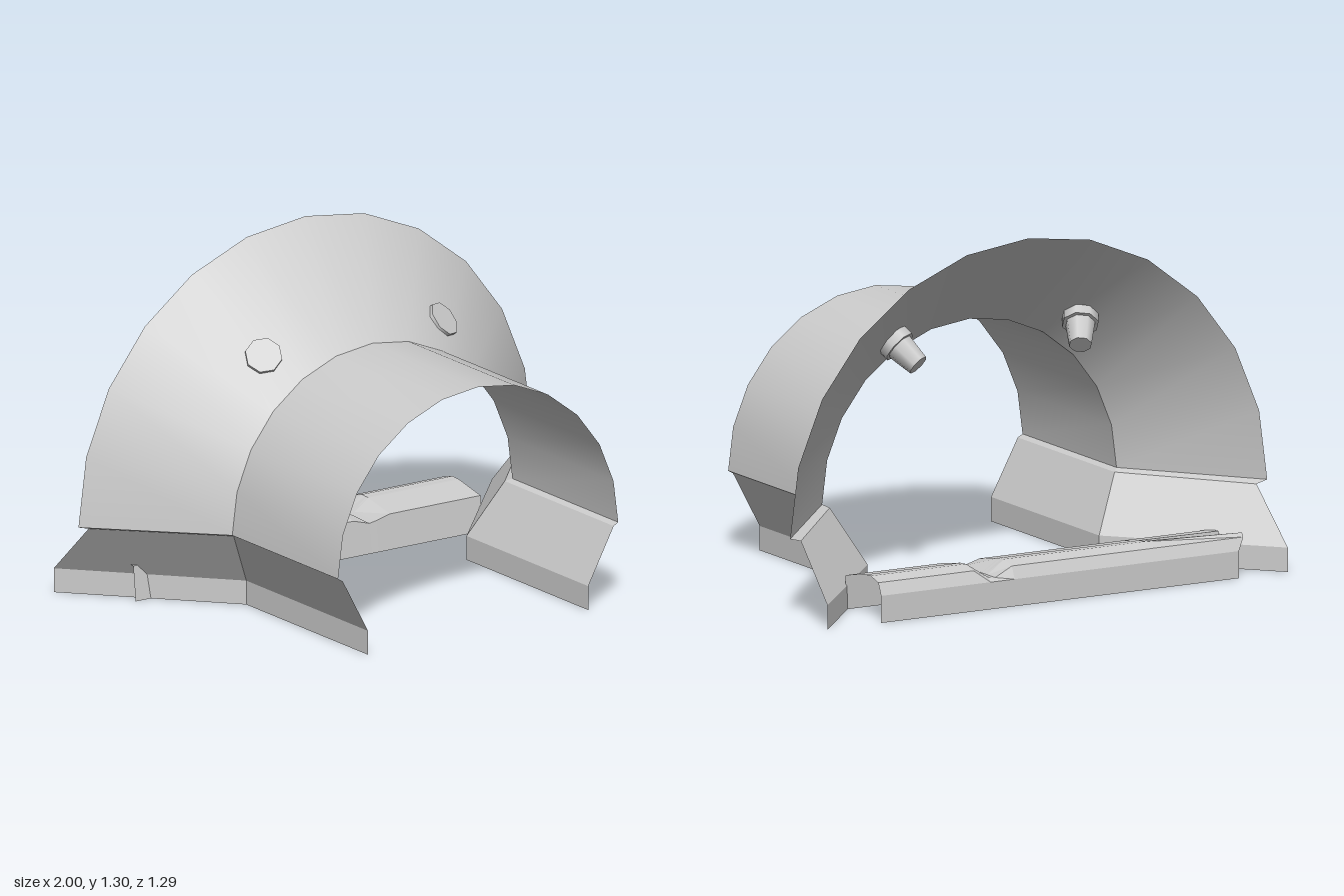
import * as THREE from 'three';

const material = new THREE.MeshStandardMaterial({ color: 0xcccccc, side: THREE.DoubleSide });

// Sheet through rows of [x, y, z] points; flat gives every face its own normal.
function sheet(name, rows, flat) {
  const n = rows[0].length, index = [];
  for (let i = 0; i < rows.length - 1; i++)
    for (let j = 0; j < n - 1; j++) {
      const a = i * n + j, b = a + n;
      index.push(a, b + 1, b, a, a + 1, b + 1);
    }
  let g = new THREE.BufferGeometry();
  g.setAttribute('position', new THREE.Float32BufferAttribute(rows.flat(2), 3));
  g.setIndex(index);
  if (flat) g = g.toNonIndexed();
  g.computeVertexNormals();
  const mesh = new THREE.Mesh(g, material);
  mesh.name = name;
  return mesh;
}

// Half circle of 12 sides, from -x over the top to +x.
function arch(r, y, z) {
  return Array.from({ length: 13 }, (_, i) => {
    const a = Math.PI * (1 - i / 12);
    return [r * Math.cos(a), y + r * Math.sin(a), z];
  });
}

// Ledge, sloping wall and upright foot, bending outward with the flare.
function sideWall(s) {
  const rows = [
    [[0.617, 0.308, 0.645], [0.597, 0.297, 0.645], [0.485, 0.09, 0.645], [0.485, 0, 0.645]],
    [[0.617, 0.308, -0.02], [0.597, 0.297, -0.04], [0.485, 0.09, -0.12], [0.485, 0, -0.12]],
    [[1, 0.3, -0.44], [0.955, 0.288, -0.44], [0.965, 0.09, -0.645], [0.965, 0, -0.645]],
  ].map(row => row.map(([x, y, z]) => [s * x, y, z]));
  if (s < 0) rows.forEach(row => row.reverse());
  return sheet(s > 0 ? 'leftSideWall' : 'rightSideWall', rows, true);
}

// Bolt through the flare: thin outer head, inner collar and tapered stub.
function bolt(s) {
  const g = new THREE.Group();
  g.name = s > 0 ? 'leftBolt' : 'rightBolt';
  const add = (name, top, bottom, y0, y1) => {
    const geo = new THREE.CylinderGeometry(top, bottom, y1 - y0, 8);
    const m = new THREE.Mesh(geo, material);
    m.name = name;
    m.position.y = (y0 + y1) / 2;
    g.add(m);
  };
  add('boltCollar', 0.068, 0.068, -0.04, 0.01);
  add('boltStub', 0.055, 0.042, -0.137, -0.04);
  const a = 0.574, r = 0.727;
  g.position.set(s * r * Math.sin(a), 0.305 + r * Math.cos(a), -0.14);
  const normal = new THREE.Vector3(s * 0.737 * Math.sin(a), 0.737 * Math.cos(a), 0.676);
  g.quaternion.setFromUnitVectors(new THREE.Vector3(0, 1, 0), normal.normalize());
  return g;
}

// Sill section at x: gap opens the torn groove, limit lowers the top for the dent.
function sillSection(x, gap, limit, backX = x) {
  const mix = (a, b) => a + (b - a) * gap;
  const top = y => Math.min(y, limit);
  return [
    [backX, 0, -0.645], [backX, 0.1, -0.645],
    [x, top(0.145), -0.625],
    [x, top(0.16), mix(-0.57, -0.615)],
    [x, top(mix(0.158, 0.04)), mix(-0.55, -0.54)],
    [x, top(mix(0.158, 0.04)), mix(-0.54, -0.475)],
    [x, top(mix(0.157, 0.135)), mix(-0.53, -0.45)],
    [x, top(0.13), -0.395], [x, 0, -0.38],
  ];
}

export function createModel() {
  const model = new THREE.Group();
  model.name = 'flaredTunnel';

  // Vault and flared hood
  model.add(sheet('vault', [arch(0.617, 0.308, 0.645), arch(0.617, 0.308, -0.02)]));
  model.add(sheet('flare', [arch(0.617, 0.308, -0.02), arch(1, 0.3, -0.44)]));

  for (const s of [1, -1]) model.add(sideWall(s), bolt(s));

  // Damaged sill across the back opening
  model.add(sheet('sill', [
    sillSection(-0.79, 1, 1, -0.76),
    sillSection(-0.41, 0, 1),
    sillSection(0.18, 0, 1),
    sillSection(0.25, 0, 0.11),
    sillSection(0.28, 0, 0.115),
    sillSection(0.34, 0, 1),
    sillSection(0.74, 0, 1),
  ], true));
  return model;
}
